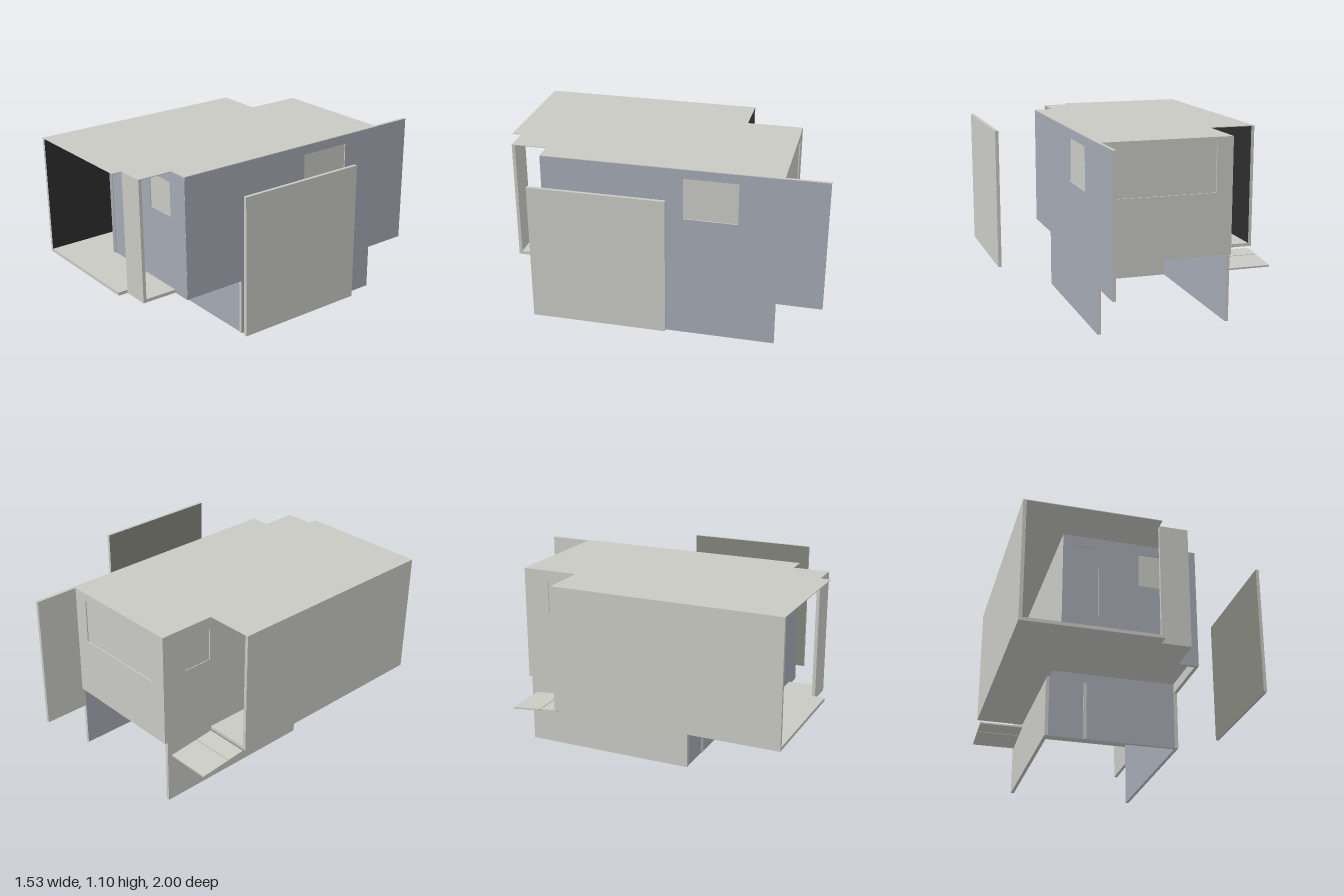
import * as THREE from 'three';

const mat = (name, color) => {
  const m = new THREE.MeshStandardMaterial({ color, side: THREE.DoubleSide });
  m.name = name;
  return m;
};

export function createModel() {
  const house = new THREE.Group();
  house.name = 'cutawayCabin';
  const light = mat('lightGrey', 0xc9c9c4);
  const blue = mat('blueGrey', 0xa4a9b3);
  const dark = mat('charcoal', 0x2d2d2d);
  const olive = mat('oliveGrey', 0x82847a);

  const rect = (a0, a1, b0, b1) => [[a0, b0], [a1, b0], [a1, b1], [a0, b1]];
  const toV = (pts, flip) => pts.map(([a, b]) => new THREE.Vector2(flip ? -a : a, b));

  // Flat slab from an outline: axis x takes (z, y), axis y takes (x, -z), axis z takes (x, y).
  // mats = [face on the low side, face on the high side, edges]
  function slab(name, axis, at, thick, outline, mats, holes = []) {
    const shape = new THREE.Shape(toV(outline, axis === 'x'));
    holes.forEach((h) => shape.holes.push(new THREE.Path(toV(h, axis === 'x'))));
    const g = new THREE.ExtrudeGeometry(shape, { depth: thick, bevelEnabled: false });
    const caps = g.groups[0].count;
    const total = g.attributes.position.count;
    g.clearGroups();
    g.addGroup(0, caps / 2, 0);
    g.addGroup(caps / 2, caps / 2, 1);
    g.addGroup(caps, total - caps, 2);
    if (axis === 'x') g.rotateY(Math.PI / 2);
    if (axis === 'y') g.rotateX(-Math.PI / 2);
    const mesh = new THREE.Mesh(g, mats);
    mesh.position[axis] = at;
    mesh.name = name;
    house.add(mesh);
    return mesh;
  }
  const plain = [light, light, light];
  const T = 0.02;

  // Thin roof with stepped corners
  slab('roof', 'y', 1.096, 0.004, [
    [-0.77, -1], [0.03, -1], [0.03, -0.94], [0.2, -0.94], [0.2, -0.72], [0.32, -0.72],
    [0.32, 0.74], [-0.48, 0.74], [-0.48, 0.39], [-0.77, 0.39],
  ], plain);

  // Porch floor wrapping the front and left, and the room floor
  slab('porchFloor', 'y', 0.35, T, [
    [-0.77, -1], [0.03, -1], [0.03, -0.94], [0.2, -0.94], [0.2, -0.72],
    [-0.48, -0.72], [-0.48, 0.39], [-0.77, 0.39],
  ], plain);
  slab('roomFloor', 'y', 0.41, T, rect(-0.47, 0.3, -0.7, 0.73), plain);

  // Right wall, reaching past the back corner
  const sideWindow = rect(-0.48, -0.15, 0.78, 1.04);
  slab('rightWall', 'x', 0.3, T, [
    [-1, 0.28], [-0.72, 0.28], [-0.72, 0.41], [0.33, 0.41],
    [0.33, 0.35], [0.72, 0.35], [0.72, 1.1], [-1, 1.1],
  ], [light, blue, light], [sideWindow]);
  slab('rightWindow', 'x', 0.303, 0.01, sideWindow, plain);

  // Front room wall with door and window
  const door = rect(-0.45, -0.27, 0.37, 1.03);
  const frontWindow = rect(-0.03, 0.175, 0.82, 1.03);
  slab('frontWall', 'z', 0.701, T, rect(-0.48, 0.319, 0.35, 1.096),
    [light, blue, light], [door, frontWindow]);
  slab('door', 'z', 0.705, 0.01, door, [light, blue, blue]);
  slab('frontWindow', 'z', 0.705, 0.01, frontWindow, plain);

  // Back wall with wide window
  const backWindow = rect(-0.38, 0.21, 0.78, 1.05);
  slab('backWall', 'z', -0.74, T, rect(-0.48, 0.3, 0.41, 1.096), plain, [backWindow]);
  slab('backWindow', 'z', -0.733, 0.01, backWindow, plain);

  // Room wall along the left passage
  const smallWindow = rect(-0.58, -0.4, 0.83, 1.03);
  slab('passageWall', 'x', -0.48, T, rect(-0.72, 0.701, 0.37, 1.096), plain, [smallWindow]);
  slab('passageWindow', 'x', -0.475, 0.01, smallWindow, plain);

  // Outer left wall, dark inside, and the narrow porch panel
  slab('leftOuterWall', 'x', -0.77, T, rect(-0.39, 1, 0.35, 1.1), [light, dark, light]);
  slab('porchPanel', 'z', 0.92, T, rect(0.03, 0.2, 0.35, 1.096), plain);

  // Lower storey, open at the back
  const lower = rect(-0.72, 0.33, 0, 0.41);
  slab('lowerRightWall', 'x', 0.3, T, lower, [blue, blue, light]);
  slab('lowerLeftWall', 'x', -0.48, T, lower, [light, blue, light]);
  slab('lowerFrontWall', 'z', 0.306, T, rect(-0.46, 0.3, 0, 0.41), [light, blue, light]);
  slab('lowerFrontPost', 'z', 0.325, 0.005, rect(-0.255, -0.235, 0, 0.35), plain);

  // Two sloping boards leading up to the passage
  for (const [z0, z1] of [[-0.69, -0.505], [-0.5, -0.39]]) {
    const z = (z0 + z1) / 2;
    const board = new THREE.Mesh(new THREE.BoxGeometry(0.27, 0.01, z1 - z0), light);
    board.position.set(-0.615, 0.32 + (z + 0.54) * 0.1, z);
    board.rotation.x = -0.1;
    board.name = 'rampBoard';
    house.add(board);
  }

  // Detached wall panel standing off to the side
  slab('detachedPanel', 'x', 0.745, T, rect(-0.15, 0.64, 0.28, 1.1), [olive, light, light]);

  return house;
}
